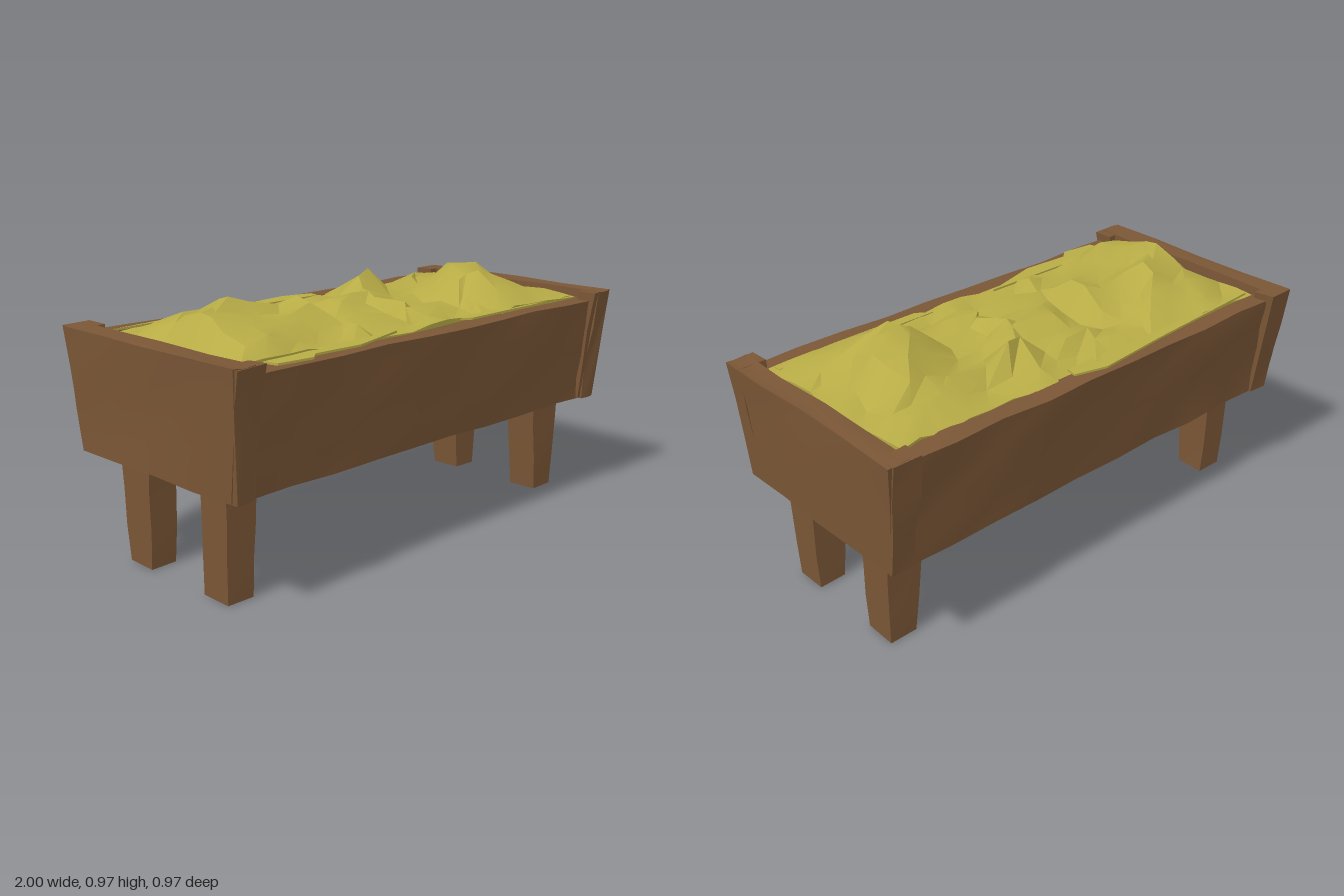
import * as THREE from 'three';
import { toCreasedNormals } from 'three/addons/utils/BufferGeometryUtils.js';

// Repeatable noise in -1..1 from a position and a seed
function noise(x, y, z, seed) {
  const s = Math.sin(x * 127.1 + y * 311.7 + z * 74.7 + seed * 53.3) * 43758.5453;
  return (s - Math.floor(s)) * 2 - 1;
}

// Rough-cut timber: a subdivided block tapering between two rectangles.
// bottom / top = [x0, x1, z0, z1]
function hewn(name, material, y0, y1, bottom, top, segs, rough, seed) {
  const geo = new THREE.BoxGeometry(1, 1, 1, ...segs);
  const p = geo.attributes.position;
  const lerp = THREE.MathUtils.lerp;
  for (let i = 0; i < p.count; i++) {
    const u = p.getX(i) + 0.5, v = p.getY(i) + 0.5, w = p.getZ(i) + 0.5;
    const r = bottom.map((b, k) => lerp(b, top[k], v));
    const n = (k) => noise(Math.round(u * 50), Math.round(v * 50), Math.round(w * 50), seed + k) * rough;
    p.setXYZ(i,
      lerp(r[0], r[1], u) + n(1),
      lerp(y0, y1, v) + n(2) * 0.5,
      lerp(r[2], r[3], w) + n(3));
  }
  const mesh = new THREE.Mesh(toCreasedNormals(geo, 0.7), material);
  mesh.name = name;
  return mesh;
}

// Mounds in the hay: x, z, height, radius x, radius z
const mounds = [
  [-0.74, 0.12, 0.12, 0.13, 0.22], [-0.55, -0.08, 0.10, 0.13, 0.22],
  [-0.33, 0.02, 0.09, 0.09, 0.2], [0.0, -0.02, 0.055, 0.17, 0.2],
  [0.22, -0.22, 0.13, 0.09, 0.11], [0.49, 0.12, 0.12, 0.1, 0.2],
  [0.64, -0.02, 0.11, 0.13, 0.22],
];
function hayHeight(x, z) {
  let h = 0.84;
  for (const [mx, mz, a, rx, rz] of mounds) {
    h += a * Math.exp(-(((x - mx) / rx) ** 2) - (((z - mz) / rz) ** 2));
  }
  return h;
}

// Crumpled heap filling the trough
function hayHeap(material) {
  const geo = new THREE.BoxGeometry(1, 1, 1, 18, 1, 9);
  const p = geo.attributes.position;
  for (let i = 0; i < p.count; i++) {
    const u = p.getX(i), v = p.getY(i), w = p.getZ(i);
    if (v < 0) {
      p.setXYZ(i, u * 1.74, 0.43, w * 0.7);
      continue;
    }
    const rim = Math.abs(u) > 0.49 || Math.abs(w) > 0.49;
    const n = (k) => noise(Math.round(u * 90), 3, Math.round(w * 90), k);
    const x = u * 1.77 + n(1) * (rim ? 0.012 : 0.036);
    const z = w * 0.75 + n(2) * (rim ? 0.012 : 0.03);
    const y = rim ? 0.838 + n(3) * 0.012 : hayHeight(x, z) + n(3) * 0.025;
    p.setXYZ(i, x, Math.min(y, 0.99), z);
  }
  const mesh = new THREE.Mesh(toCreasedNormals(geo, 0.45), material);
  mesh.name = 'hayHeap';
  return mesh;
}

// Thin flat wisp of hay from [x, z] points, lying at height y
function wisp(name, material, y, points) {
  const shape = new THREE.Shape(points.map(([x, z]) => new THREE.Vector2(x, -z)));
  const geo = new THREE.ExtrudeGeometry(shape, { depth: 0.008, bevelEnabled: false });
  geo.rotateX(-Math.PI / 2);
  const mesh = new THREE.Mesh(geo, material);
  mesh.name = name;
  mesh.position.y = y;
  return mesh;
}

export function createModel() {
  const wood = new THREE.MeshStandardMaterial({ color: 0x7a5636 });
  wood.name = 'brownWood';
  const hay = new THREE.MeshStandardMaterial({ color: 0xb8ac46 });
  hay.name = 'yellowHay';

  const group = new THREE.Group();
  group.name = 'feedingTrough';

  // Long sloping side boards
  group.add(
    hewn('frontBoard', wood, 0.41, 0.83, [-0.92, 0.92, 0.33, 0.405], [-0.92, 0.92, 0.365, 0.458], [9, 4, 2], 0.009, 1),
    hewn('backBoard', wood, 0.41, 0.835, [-0.92, 0.92, -0.4, -0.34], [-0.92, 0.92, -0.453, -0.37], [9, 4, 2], 0.009, 2),
    hewn('floorBoard', wood, 0.408, 0.44, [-0.92, 0.92, -0.29, 0.38], [-0.92, 0.92, -0.29, 0.38], [8, 1, 3], 0.006, 3),
  );

  for (const s of [-1, 1]) {
    const side = s > 0 ? 'left' : 'right';
    const span = (a, b) => (s > 0 ? [a, b] : [-b, -a]);

    // Flared end boards, taller than the sides
    group.add(hewn(side + 'EndBoard', wood, 0.412, 0.862,
      [...span(0.885, 0.97), -0.405, 0.43], [...span(0.905, 0.99), -0.475, 0.475], [2, 3, 4], 0.008, 5 + s));

    for (const f of [-1, 1]) {
      const end = f > 0 ? 'Front' : 'Back';
      const depth = (a, b) => (f > 0 ? [a, b] : [-b, -a]);

      // Corner posts wrapping the board joints
      group.add(hewn(side + end + 'Corner', wood, 0.415, 0.86,
        [...span(0.88, 0.965), ...depth(0.36, 0.418)],
        [...span(0.87, 0.985), ...depth(0.4, 0.48)], [1, 3, 1], 0.006, 9 + s + 3 * f));

      // Tapered legs
      const z = f > 0 ? [0.16, 0.285] : [-0.27, -0.145];
      const zTop = f > 0 ? [0.16, 0.3] : [-0.29, -0.132];
      group.add(hewn(side + end + 'Leg', wood, 0.005, 0.425,
        [...span(0.78, 0.89), ...z],
        [...span(s > 0 ? 0.74 : 0.775, 0.897), ...zTop], [1, 3, 1], 0.004, 20 + s + 3 * f));
    }
  }

  // Hay, wisps over the rims and tufts through the floor
  group.add(
    hayHeap(hay),
    wisp('backRimHay', hay, 0.838, [[-0.86, -0.36], [-0.3, -0.4], [0.0, -0.43], [0.13, -0.395], [0.12, -0.35]]),
    wisp('frontRimHay', hay, 0.833, [[-0.8, 0.35], [-0.78, 0.43], [-0.64, 0.445], [-0.6, 0.41], [-0.4, 0.42], [-0.15, 0.35]]),
    wisp('frontRimTuft', hay, 0.833, [[0.16, 0.35], [0.22, 0.39], [0.6, 0.385], [0.86, 0.37], [0.86, 0.34]]),
    wisp('floorTuft', hay, 0.4, [[0.2, -0.16], [0.05, -0.2], [-0.1, -0.1], [0.0, -0.04], [0.16, -0.08]]),
    wisp('floorTuftSmall', hay, 0.4, [[0.58, -0.14], [0.46, -0.17], [0.38, -0.06], [0.52, -0.02]]),
  );
  return group;
}
